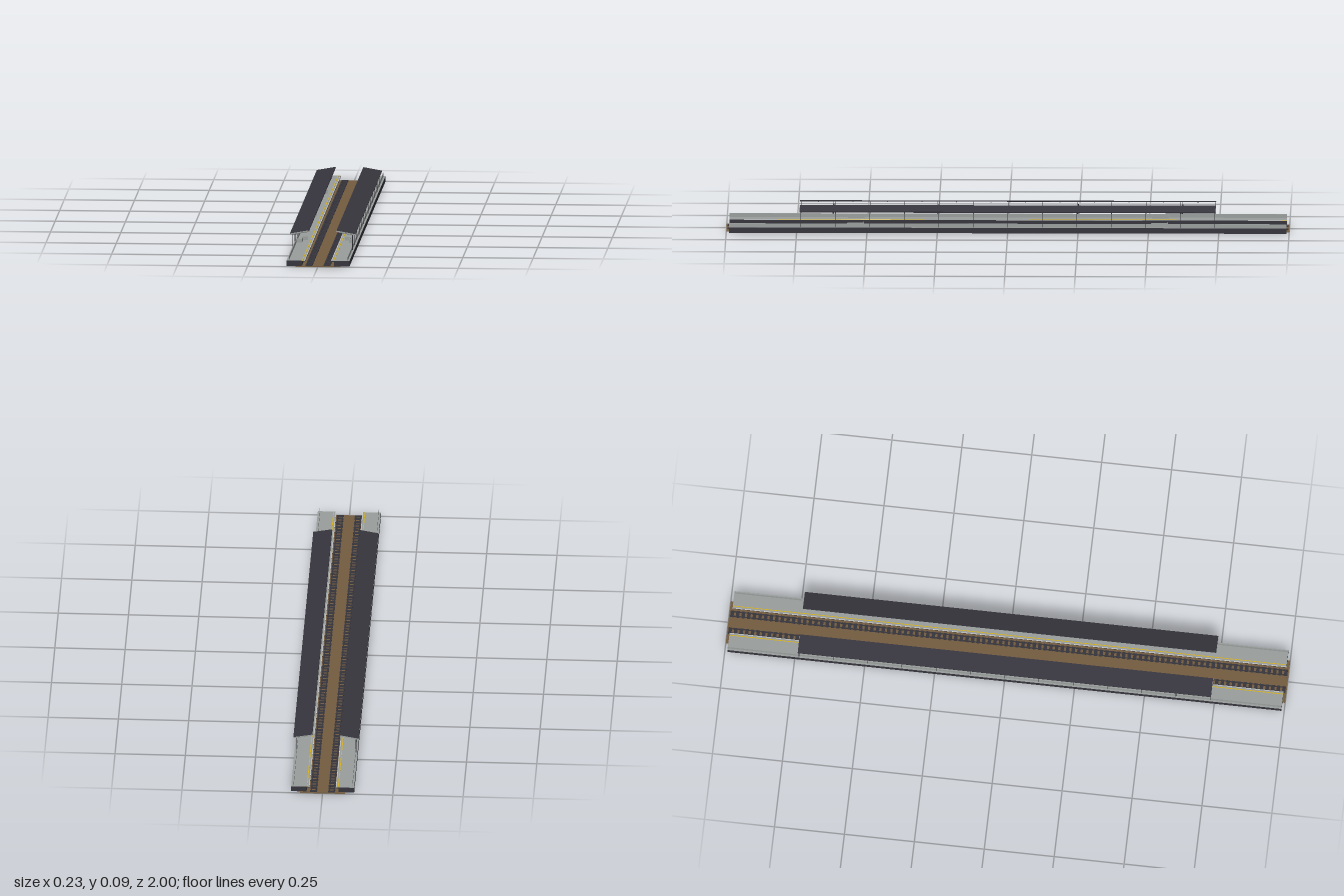
import * as THREE from 'three';

const mat = (name, color) => {
  const m = new THREE.MeshStandardMaterial({ color });
  m.name = name;
  return m;
};

export function createModel() {
  const M = {
    concrete: mat('pale concrete', 0x9a9f9d),
    coping: mat('white coping', 0xd4d6d4),
    dark: mat('dark slate', 0x37353d),
    ballast: mat('brown ballast', 0x745d41),
    steel: mat('grey steel', 0x6a6c70),
    yellow: mat('safety yellow', 0xdcb414),
    black: mat('sign black', 0x1c1c1e),
  };
  const model = new THREE.Group();
  model.name = 'railwayStation';

  // box given by its limits on each axis
  const box = (parent, name, m, x0, x1, y0, y1, z0, z1) => {
    const mesh = new THREE.Mesh(new THREE.BoxGeometry(Math.abs(x1 - x0), y1 - y0, z1 - z0), m);
    mesh.position.set((x0 + x1) / 2, (y0 + y1) / 2, (z0 + z1) / 2);
    mesh.name = name;
    parent.add(mesh);
    return mesh;
  };

  // ballast bed in two layers
  box(model, 'trackBed', M.ballast, -0.08, 0.08, 0, 0.0015, -1, 1);
  box(model, 'upperBallast', M.ballast, -0.057, 0.057, 0.0015, 0.003, -0.995, 0.995);

  // two tracks of sleepers and a pair of rails
  const sleeperGeo = new THREE.BoxGeometry(0.025, 0.0015, 0.012);
  for (const s of [-1, 1]) {
    const track = new THREE.Group();
    track.name = s > 0 ? 'leftTrack' : 'rightTrack';
    model.add(track);
    for (let i = 0; i < 100; i++) {
      const sleeper = new THREE.Mesh(sleeperGeo, M.dark);
      sleeper.name = 'sleeper';
      sleeper.position.set(s * 0.032, 0.0036, -0.99 + i * 0.02);
      track.add(sleeper);
    }
    for (const x of [0.0235, 0.0405]) {
      box(track, 'rail', M.dark, s * (x - 0.002), s * (x + 0.002), 0.003, 0.0055, -0.99, 0.99);
    }
  }

  // one platform with canopy per side
  for (const s of [-1, 1]) {
    const side = new THREE.Group();
    side.name = s > 0 ? 'leftPlatform' : 'rightPlatform';
    model.add(side);
    const b = (name, m, x0, x1, ...r) => box(side, name, m, s * x0, s * x1, ...r);

    // base, overhanging slab, paving, white edge and yellow line
    b('platformBase', M.dark, 0.057, 0.112, 0.0009, 0.017, -0.99, 0.99);
    b('platformSlab', M.dark, 0.0465, 0.112, 0.017, 0.0203, -0.99, 0.99);
    b('paving', M.concrete, 0.0485, 0.112, 0.0203, 0.021, -0.99, 0.99);
    b('edgeCoping', M.coping, 0.0465, 0.0485, 0.0203, 0.021, -0.99, 0.99);
    b('safetyLine', M.yellow, 0.0542, 0.0568, 0.021, 0.0216, -0.99, 0.99);

    // low wall along the outer edge
    b('parapet', M.concrete, 0.1035, 0.1055, 0.021, 0.034, -0.99, 0.99);

    // pale footings under the platform
    for (let i = 0; i < 14; i++) {
      const z = -0.95 + i * 1.9 / 13;
      b('footing', M.concrete, 0.088, 0.108, 0.0003, 0.0009, z - 0.012, z + 0.012);
    }

    // slim columns
    for (let i = 0; i < 13; i++) {
      const z = -0.735 + i * 0.1225;
      b('column', M.dark, 0.1053, 0.1073, 0.021, 0.078, z - 0.001, z + 0.001);
    }

    // pitched roof with rafters below and pale end boards
    const angle = Math.atan2(0.012, 0.067);
    const tilt = (mesh) => { mesh.rotation.z = -s * angle; return mesh; };
    for (let i = 0; i < 25; i++) {
      const z = -0.735 + i * 0.06125;
      tilt(b('rafter', M.steel, 0.0505, 0.1085, 0.0792, 0.081, z - 0.001, z + 0.001));
    }
    tilt(b('roof', M.dark, 0.0485, 0.1165, 0.081, 0.085, -0.739, 0.739));
    for (const e of [-1, 1]) {
      tilt(b('roofEndBoard', M.concrete, 0.0485, 0.1165, 0.081, 0.085, e * 0.7395 - 0.0005, e * 0.7395 + 0.0005));
    }

    // hanging signs with small yellow panels on both faces
    for (const z of [-0.62, -0.25, 0.25, 0.62]) {
      b('sign', M.black, 0.057, 0.082, 0.066, 0.0725, z - 0.002, z + 0.002);
      for (const x of [0.0545, 0.0595]) {
        b('signHanger', M.steel, x - 0.0005, x + 0.0005, 0.068, 0.086, z - 0.0006, z + 0.0006);
      }
      b('signArm', M.steel, 0.054, 0.058, 0.068, 0.069, z - 0.0006, z + 0.0006);
      for (const e of [-1, 1]) {
        for (const x of [0.0625, 0.0695, 0.0765]) {
          b('signPanel', M.yellow, x - 0.0016, x + 0.0016, 0.0688, 0.07, z + e * 0.0022 - 0.0003, z + e * 0.0022 + 0.0003);
        }
      }
    }

    // Z-shaped windbreaks: a long panel with a return at each end
    for (const z of [-0.54, 0.54]) {
      b('windbreakPanel', M.concrete, 0.0835, 0.0855, 0.021, 0.034, z - 0.03, z + 0.03);
      b('windbreakOuterReturn', M.concrete, 0.0855, 0.103, 0.021, 0.034, z + 0.028, z + 0.03);
      b('windbreakInnerReturn', M.concrete, 0.066, 0.0835, 0.021, 0.034, z - 0.03, z - 0.028);
    }
  }
  return model;
}
